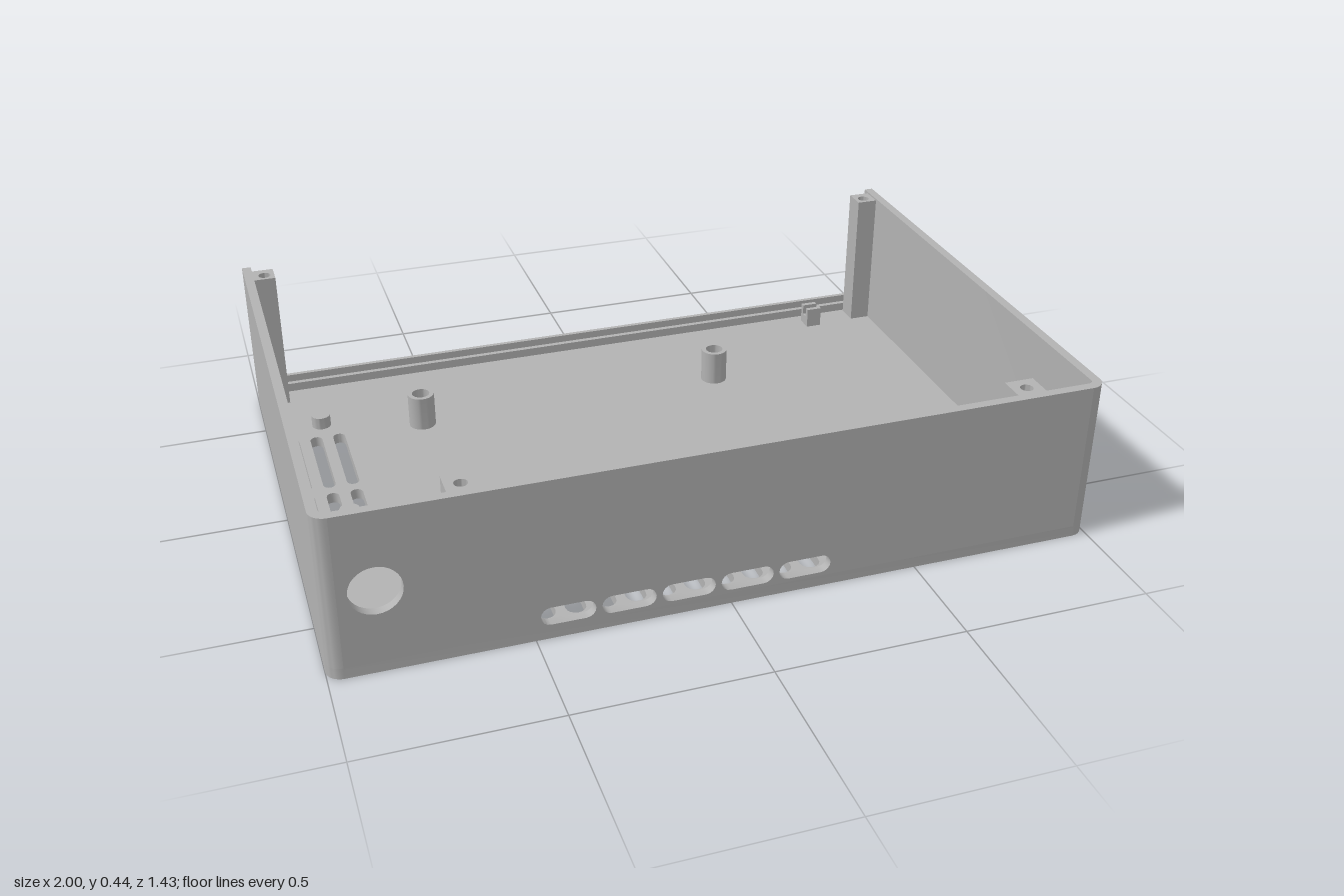
import * as THREE from 'three';
import { toCreasedNormals } from 'three/addons/utils/BufferGeometryUtils.js';

const FLOOR = 0.03, TOP = 0.445, X = 1, Z = 0.715, T = 0.025, R = 0.04;

export function createModel() {
  const group = new THREE.Group();
  const grey = new THREE.MeshStandardMaterial({ color: 0xb2b2b2 });
  grey.name = 'grey plastic';

  const add = (name, geometry) => {
    const mesh = new THREE.Mesh(geometry, grey);
    mesh.name = name;
    group.add(mesh);
    return mesh;
  };
  const extrude = (shape, depth) =>
    new THREE.ExtrudeGeometry(shape, { depth, bevelEnabled: false, curveSegments: 12 });
  // Plan outline (x, z) raised from y0 to y1
  const raise = (name, shape, y0, y1) => {
    const g = extrude(shape, y1 - y0).rotateX(Math.PI / 2).translate(0, y1, 0);
    return add(name, toCreasedNormals(g, 0.6));
  };
  const box = (name, x0, x1, y0, y1, z0, z1) => {
    const m = add(name, new THREE.BoxGeometry(x1 - x0, y1 - y0, z1 - z0));
    m.position.set((x0 + x1) / 2, (y0 + y1) / 2, (z0 + z1) / 2);
    return m;
  };
  const arc = (cx, cy, r, a0, a1, n = 8) => Array.from({ length: n + 1 }, (_, i) => {
    const a = a0 + (a1 - a0) * i / n;
    return new THREE.Vector2(cx + r * Math.cos(a), cy + r * Math.sin(a));
  });
  const P = (x, y) => new THREE.Vector2(x, y);
  const H = Math.PI / 2;
  // Round-ended slot between opposite corners
  const slot = (x0, x1, y0, y1) => {
    const r = Math.min(x1 - x0, y1 - y0) / 2;
    const cx = (x0 + x1) / 2, cy = (y0 + y1) / 2;
    return new THREE.Path(x1 - x0 > y1 - y0
      ? [...arc(x1 - r, cy, r, -H, H), ...arc(x0 + r, cy, r, H, 3 * H)]
      : [...arc(cx, y1 - r, r, 0, 2 * H), ...arc(cx, y0 + r, r, 2 * H, 4 * H)]);
  };
  const circle = (x, y, r) => new THREE.Path(arc(x, y, r, 0, 4 * H, 32).slice(0, -1));

  // Floor with its ventilation slots
  const floor = new THREE.Shape([
    ...arc(X - R, Z - R, R, 0, H), ...arc(R - X, Z - R, R, H, 2 * H),
    ...arc(R - X, R - Z, R, 2 * H, 3 * H), ...arc(X - R, R - Z, R, 3 * H, 4 * H)]);
  for (let i = 0; i < 10; i++) {
    const x = -0.46 + i * 0.0772;
    floor.holes.push(slot(x - 0.026, x + 0.026, 0.37, 0.675));
  }
  [-0.937, -0.872, -0.807].forEach((x, i) => {
    const spans = i === 0 ? [[-0.365, -0.08], [-0.05, 0.185]]
      : [[-0.365, -0.08], [-0.05, 0.06], [0.135, 0.185]];
    for (const [a, b] of spans) floor.holes.push(slot(x - 0.017, x + 0.017, a, b));
  });
  raise('floor', floor, 0, FLOOR);

  // Front wall with a socket hole and a row of slots
  const front = new THREE.Shape([
    P(R - X, FLOOR), P(X - R, FLOOR), P(X - R, TOP), P(R - X, TOP)]);
  front.holes.push(circle(-0.87, 0.23, 0.065));
  for (let i = 0; i < 5; i++) {
    const x = -0.418 + i * 0.153;
    front.holes.push(slot(x - 0.069, x + 0.069, 0.04, 0.09));
  }
  add('frontWall', toCreasedNormals(extrude(front, T).translate(0, 0, Z - T), 0.6));

  for (const s of [-1, 1]) {
    const side = s < 0 ? 'right' : 'left';
    const mirror = (pts) => pts.map((p) => P(s * p.x, p.y));
    // Side wall with rounded front corner
    raise(side + 'Wall', new THREE.Shape(mirror([
      P(X, -0.68), ...arc(X - R, Z - R, R, 0, H),
      ...arc(X - R, Z - R, R - T, H, 0), P(X - T, -0.68)])), FLOOR, TOP);
    // Rear screw post
    const rear = new THREE.Shape(mirror([
      P(X - T, -0.66), P(X - T, -0.595), P(0.915, -0.595), P(0.915, -0.66)]));
    rear.holes.push(circle(s * 0.943, -0.622, 0.017));
    raise(side + 'RearPost', rear, FLOOR, 0.44);
    box(side + 'LipEnd', s * 0.965 - 0.018, s * 0.965 + 0.018, FLOOR, 0.055, -0.701, -0.68);
  }

  // Front screw posts
  for (const x of [-0.645, 0.815]) {
    const post = new THREE.Shape([
      P(x - 0.04, 0.597), P(x + 0.04, 0.597), P(x + 0.04, 0.69), P(x - 0.04, 0.69)]);
    post.holes.push(circle(x, 0.638, 0.017));
    raise('frontPost', post, FLOOR, 0.43);
  }

  // Two low rear lips with a groove for the back panel
  raise('outerLip', new THREE.Shape([
    P(-0.985, -0.702), ...arc(R - X, R - Z, R, 2.55 * H, 3 * H),
    ...arc(X - R, R - Z, R, 3 * H, 3.45 * H), P(0.985, -0.702)]), FLOOR, 0.065);
  box('innerLip', -0.947, 0.947, FLOOR, 0.055, -0.68, -0.665);

  // Turned standoffs
  const turned = (name, x, z, profile) => {
    const g = new THREE.LatheGeometry(profile.map(([r, y]) => P(r, y)), 32);
    add(name, toCreasedNormals(g, 0.6)).position.set(x, FLOOR, z);
  };
  for (const x of [-0.562, 0.343]) {
    turned('rearStandoff', x, -0.35,
      [[0.038, 0], [0.038, 0.1], [0.025, 0.1], [0.025, 0.01], [0, 0.01]]);
  }
  for (const x of [-0.527, 0.65]) {
    turned('frontStandoff', x, 0.395, [[0.036, 0], [0.036, 0.045], [0.05, 0.045],
      [0.05, 0.065], [0.036, 0.065], [0.036, 0.1], [0.02, 0.1], [0.02, 0.03], [0, 0.03]]);
  }
  for (const z of [-0.432, 0.097]) {
    turned('shortPeg', -0.845, z, [[0.027, 0], [0.027, 0.035], [0, 0.035]]);
  }

  // Upright support plate, clips and corner pad
  box('supportPlate', 0.585, 0.71, FLOOR, 0.22, 0.522, 0.555);
  box('supportRib', 0.6, 0.695, FLOOR, 0.22, 0.555, 0.575);
  box('cornerPad', -0.948, -0.802, FLOOR, 0.06, 0.62, 0.69);
  const clip = (x, z, angle) => {
    const g = new THREE.Group();
    g.name = 'cableClip';
    for (const [dz, h, d] of [[-0.018, 0.06, 0.014], [0, 0.03, 0.022], [0.018, 0.06, 0.014]]) {
      const m = new THREE.Mesh(new THREE.BoxGeometry(0.046, h, d), grey);
      m.name = 'clipPart';
      m.position.set(0, h / 2, dz);
      g.add(m);
    }
    g.position.set(x, FLOOR, z);
    g.rotation.y = angle;
    group.add(g);
  };
  clip(0.777, -0.61, 0);
  clip(-0.692, 0.318, H + 0.45);

  return group;
}
